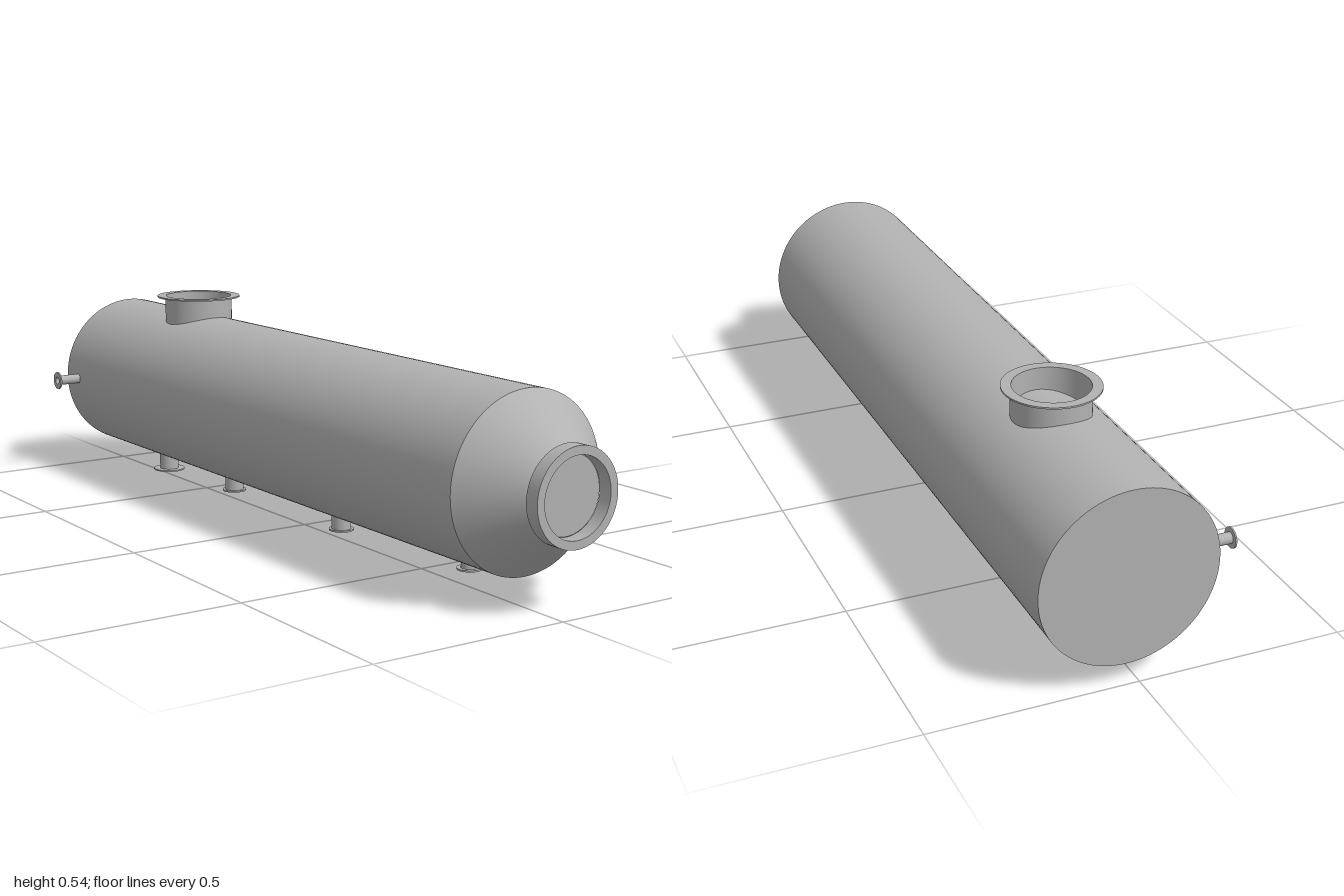
import * as THREE from 'three';
import { mergeGeometries } from 'three/addons/utils/BufferGeometryUtils.js';

const CX = 0.033, CY = 0.268, R = 0.213; // shell axis and radius

// Sharp-edged hollow ring around the y axis, between heights y0 and y1
function ring(inner, outer, y0, y1, segments) {
  const corners = [[inner, y0], [outer, y0], [outer, y1], [inner, y1]]
    .map(([x, y]) => new THREE.Vector2(x, y));
  return mergeGeometries(corners.map((c, i) =>
    new THREE.LatheGeometry([c, corners[(i + 1) % 4]], segments)));
}

export function createModel() {
  const model = new THREE.Group();
  const steel = new THREE.MeshStandardMaterial({ color: 0xb2b2b2 });
  steel.name = 'grey steel';

  const add = (parent, name, geometry) => {
    const mesh = new THREE.Mesh(geometry, steel);
    mesh.name = name;
    parent.add(mesh);
    return mesh;
  };

  // Open pipe with a flange at its end; it grows along local +y
  const nozzle = (name, { length, inner, outer, flange, thickness, segments = 48 }) => {
    const group = new THREE.Group();
    group.name = name;
    add(group, 'pipe', ring(inner, outer, 0, length, segments));
    add(group, 'flange', ring(inner, flange, length - thickness, length, segments));
    model.add(group);
    return group;
  };

  // Main vessel: closed cylinder with a conical front
  const shell = add(model, 'shell', new THREE.CylinderGeometry(R, R, 1.833, 96));
  shell.rotation.x = Math.PI / 2;
  shell.position.set(CX, CY, -0.0835);

  const cone = add(model, 'frontCone', new THREE.CylinderGeometry(0.092, R, 0.132, 96));
  cone.rotation.x = Math.PI / 2;
  cone.position.set(CX, CY, 0.899);

  const frontFlange = add(model, 'frontFlange', ring(0.0935, 0.114, 0, 0.036, 96));
  frontFlange.rotation.x = Math.PI / 2;
  frontFlange.position.set(CX, CY, 0.964);

  // Large inlet on top; its lower edge sinks into the shell
  nozzle('topNozzle', {
    length: 0.079, inner: 0.0905, outer: 0.093, flange: 0.115, thickness: 0.004, segments: 80,
  }).position.set(CX, 0.456, -0.59);

  // Small connection on the right side
  const side = nozzle('sideNozzle', {
    length: 0.082, inner: 0.0105, outer: 0.0135, flange: 0.0245, thickness: 0.004,
  });
  side.rotation.z = Math.PI / 2;
  side.position.set(-0.165, CY, -0.932);

  // Row of drains underneath: z, lower end, pipe radius, flange radius
  const drains = [
    [0.639, 0.027, 0.02, 0.03],
    [0.12, 0.008, 0.025, 0.032],
    [-0.404, 0.008, 0.025, 0.032],
    [-0.773, 0, 0.027, 0.045],
  ];
  drains.forEach(([z, bottom, outer, flange], i) => {
    const drain = nozzle('drain' + (i + 1), {
      length: 0.062 - bottom, inner: outer - 0.003, outer, flange, thickness: 0.004,
    });
    drain.rotation.x = Math.PI;
    drain.position.set(CX, 0.062, z);
  });

  return model;
}
